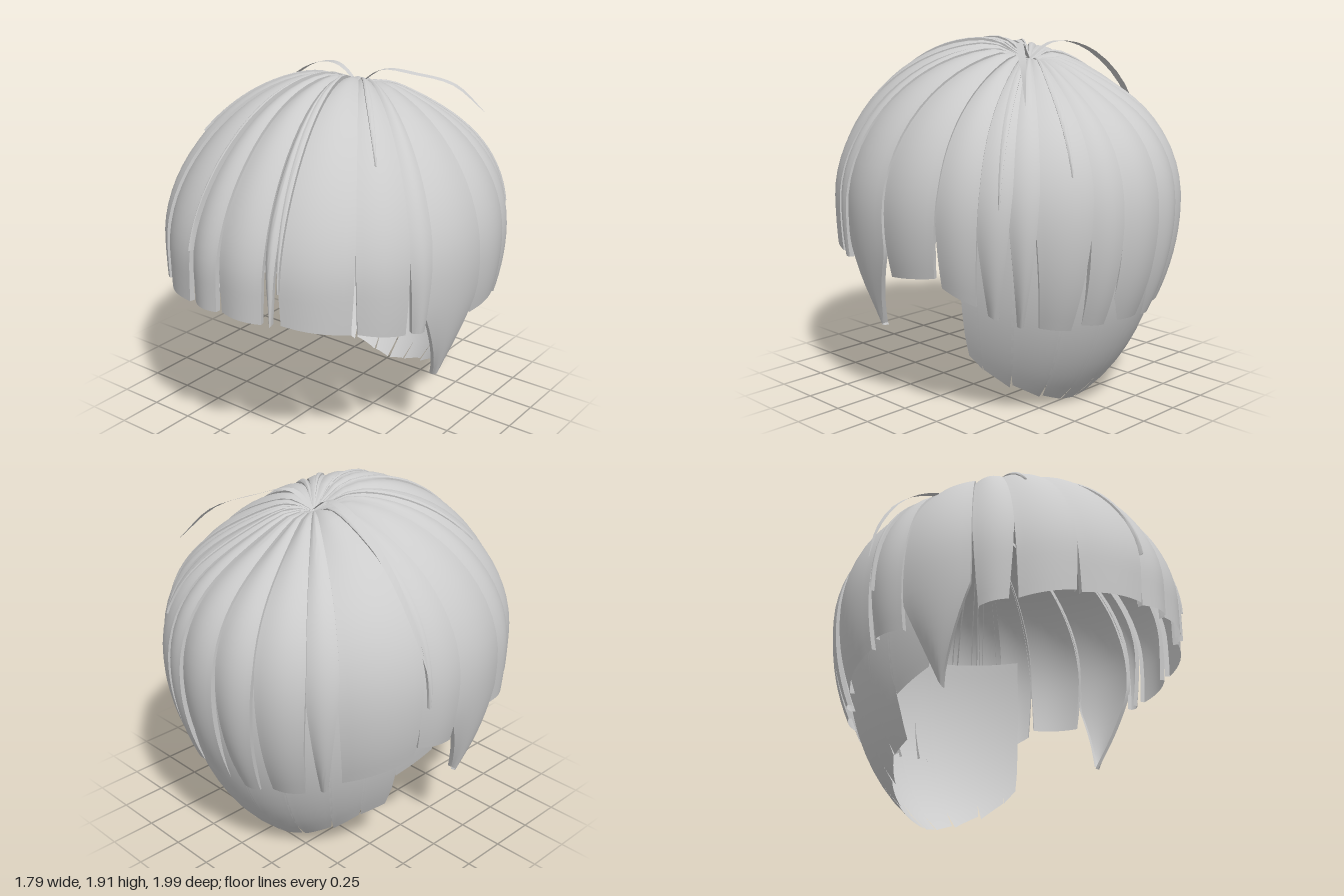
import * as THREE from 'three';
import { toCreasedNormals } from 'three/addons/utils/BufferGeometryUtils.js';

const MID = 1.05, RISE = 0.8, DEG = Math.PI / 180;
const material = new THREE.MeshStandardMaterial({ color: 0xcccccc, side: THREE.DoubleSide });

// Outer hair surface: q 0..1 runs from the crown to the widest level, q > 1 hangs below it
function capPoint(deg, q, offset) {
  const a = deg * DEG, s = Math.sin(Math.min(q, 1) * Math.PI / 2);
  const front = Math.max(Math.cos(a), 0);
  const drop = Math.max(q - 1, 0);
  const tuck = 1 - 0.43 * (1 - front) * drop * drop;
  const swell = 1 + offset * Math.min(1, s * 4);
  let rise = RISE * Math.cos(Math.min(q, 1) * Math.PI / 2);
  rise += 0.085 * Math.cos(a) * Math.sin(Math.PI * s) - 0.06 * Math.exp(-s * s * 100);
  const x = 0.875 * Math.sin(a) * s;
  const z = THREE.MathUtils.lerp(-0.18, 0.97 * Math.cos(a), s);
  return [x * swell * tuck, MID + rise * swell - drop, z * swell * tuck];
}

// Under layer: a deep bowl that curls in toward the nape
function napePoint(deg, y) {
  const f = Math.sqrt(1 - ((1 - y) / 1.195) ** 2);
  return [0.74 * Math.sin(deg * DEG) * f, y, 0.95 * Math.cos(deg * DEG) * f];
}

// Grid of points seen from outside: rows run down, columns run right
function sheet(name, rows, cols, at) {
  const pos = [], index = [];
  for (let r = 0; r <= rows; r++)
    for (let c = 0; c <= cols; c++) pos.push(...at(r / rows, c));
  for (let r = 0; r < rows; r++)
    for (let c = 0; c < cols; c++) {
      const a = r * (cols + 1) + c, b = a + cols + 1;
      index.push(a, b, a + 1, b, b + 1, a + 1);
    }
  let g = new THREE.BufferGeometry();
  g.setAttribute('position', new THREE.Float32BufferAttribute(pos, 3));
  g.setIndex(index);
  g = toCreasedNormals(g, 0.7);
  const mesh = new THREE.Mesh(g, material);
  mesh.name = name;
  return mesh;
}

const hemToQ = (y) => (y < MID ? 1 + MID - y : Math.acos((y - MID) / RISE) / (Math.PI / 2));

// One lock: angles a0..a1, hem heights at both edges, taper at the tip, where the taper
// starts, lift off the cap. The outer columns fold inward to form the lock's thick edges.
function lock(name, [a0, a1, h0, h1, taper = 0.1, from = 0.84, lift = 0, bulge = 0.018]) {
  const N = 8, end = hemToQ((h0 + h1) / 2);
  return sheet(name, 24, N + 2, (t, c) => {
    const u = THREE.MathUtils.clamp((c - 1) / N, 0, 1);
    const edge = c === 0 || c === N + 2;
    const q = hemToQ(THREE.MathUtils.lerp(h0, h1, u)) * t;
    const k = 1 - taper * THREE.MathUtils.clamp((q - from) / (end - from), 0, 1);
    const deg = THREE.MathUtils.lerp(a0, a1, 0.5 + (u - 0.5) * k);
    const arch = bulge * (Math.sin(Math.PI * u) + u);
    return capPoint(deg, q, lift + arch - (edge ? 0.03 : 0));
  });
}

function napeLock([a0, a1, h0, h1]) {
  const N = 6;
  return sheet('napeLock', 14, N, (t, c) => {
    const u = c / N, y = THREE.MathUtils.lerp(1.2, THREE.MathUtils.lerp(h0, h1, u), t);
    const k = 1 - 0.14 * THREE.MathUtils.clamp((t - 0.86) / 0.14, 0, 1);
    return napePoint(THREE.MathUtils.lerp(a0, a1, 0.5 + (u - 0.5) * k), y);
  });
}

export function createModel() {
  const hair = new THREE.Group();
  hair.name = 'hair';

  // Fringe across the front
  const fringe = [
    [-37, -13, 0.85, 0.87], [-13, 0, 0.87, 0.88], [0, 17, 0.88, 0.87],
    [17, 21, 0.86, 0.87, 0.8], [21, 45, 0.87, 0.83],
    [-56, -37, 0.8, 0.85], [45, 62, 0.82, 0.78],
  ];
  // Side locks, each side ending in one long point by the ear
  const sides = [
    [-69, -56, 0.77, 0.79, 0.3], [-93, -69, 0.45, 0.42, 0.95, 1.15], [-106, -91, 0.75, 0.73, 0.15],
    [62, 70, 0.77, 0.77, 0.5], [68, 91, 0.42, 0.44, 0.95, 1.18], [90, 111, 0.74, 0.78, 0.15],
  ];
  // Back locks, a mix of blunt and pointed ends
  const back = [
    [-132, -105, 0.6, 0.7, 0.12], [-142, -131, 0.54, 0.56, 0.75],
    [-158, -141, 0.52, 0.53, 0.25], [-173, -158, 0.5, 0.5, 0.4], [-190, -173, 0.53, 0.52, 0.12],
    [158, 170, 0.53, 0.52, 0.25], [140, 159, 0.53, 0.51, 0.4],
    [132, 142, 0.54, 0.54, 0.8], [122, 134, 0.6, 0.58, 0.7], [110, 124, 0.73, 0.65, 0.2],
  ];
  for (const row of fringe) hair.add(lock('fringeLock', row));
  for (const row of sides) hair.add(lock('sideLock', row));
  for (const row of back) hair.add(lock('backLock', row));

  // Narrow strands lying on top of the cap
  const strands = [
    [-106, -101, 1.0, 1.0], [-50, -46, 1.55, 1.55], [50, 54, 1.55, 1.55], [20, 24, 1.05, 1.05],
    [150, 154, 1.3, 1.3], [128, 132, 1.15, 1.15], [-14, -11, 1.15, 1.15],
  ];
  for (const row of strands) hair.add(lock('topStrand', [...row, 0.9, 0.3, 0.03, 0.005]));

  // Two flyaway strands arching off the crown to the sides
  const arcs = [
    [[0, 1.8, -0.18], [-0.12, 1.88, -0.2], [-0.24, 1.89, -0.23], [-0.42, 1.83, -0.26],
      [-0.64, 1.66, -0.28], [-0.8, 1.42, -0.28], [-0.88, 1.2, -0.26]],
    [[0, 1.8, -0.18], [0.12, 1.89, -0.23], [0.25, 1.86, -0.36], [0.4, 1.79, -0.52], [0.52, 1.63, -0.65]],
  ];
  for (const pts of arcs) {
    const curve = new THREE.CatmullRomCurve3(pts.map((p) => new THREE.Vector3(...p)));
    const side = Math.sign(pts[1][0]);
    hair.add(sheet('flyawayStrand', 16, 1, (t, c) => {
      const p = curve.getPoint(t), w = (0.5 - c) * 0.055 * Math.sin(Math.PI * (0.1 + 0.88 * t));
      return [p.x, p.y, p.z + w * side];
    }));
  }

  // Under layer round the nape: shared locks are mirrored, the right side reaches further forward
  const nape = [[117, 131, 0.24, 0.13], [130, 149, 0.15, 0.06], [148, 166, 0.07, 0.02]];
  for (const [a0, a1, h0, h1] of nape) {
    hair.add(napeLock([a0, a1, h0, h1]), napeLock([-a1, -a0, h1, h0]));
  }
  const single = [
    [165, 180, 0.02, 0], [180, 195, 0, 0.02], [112, 118, 0.32, 0.24],
    [-106, -88, 0.5, 0.58], [-118, -105, 0.24, 0.28],
  ];
  for (const row of single) hair.add(napeLock(row));
  return hair;
}
